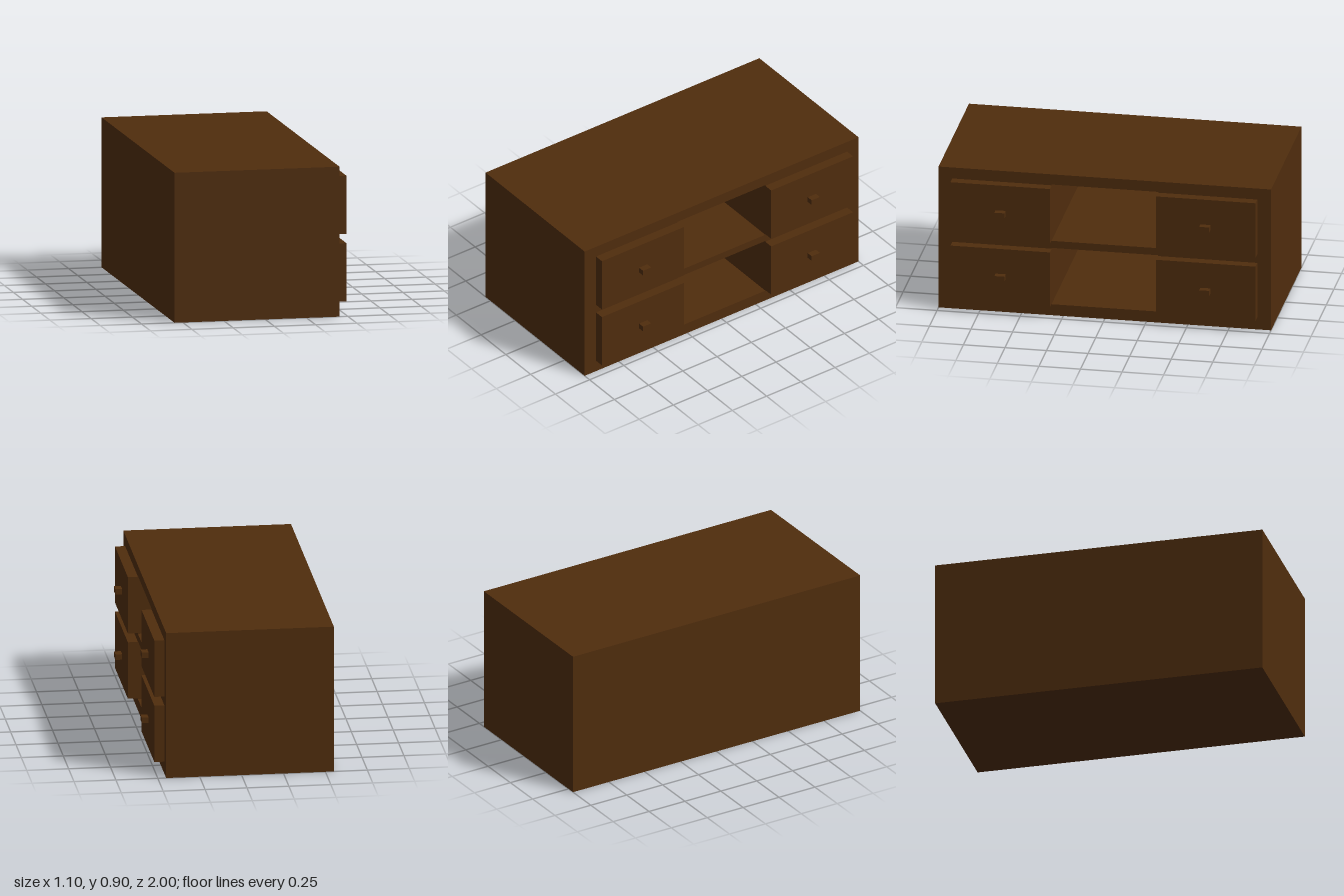
import * as THREE from 'three';

export function createModel() {
  const group = new THREE.Group();
  const wood = new THREE.MeshStandardMaterial({ color: 0x502d0d });
  wood.name = 'dark wood';

  const add = (name, geometry, x, y, z) => {
    const mesh = new THREE.Mesh(geometry, wood);
    mesh.name = name;
    mesh.position.set(x, y, z);
    group.add(mesh);
    return mesh;
  };

  const rowCentres = [0.25, 0.655];
  const backThickness = 0.1;

  // Cabinet body with two open shelf bays between the drawers
  const outline = new THREE.Shape();
  outline.moveTo(-1, 0).lineTo(1, 0).lineTo(1, 0.9).lineTo(-1, 0.9).closePath();
  for (const y of rowCentres) {
    const bay = new THREE.Path();
    bay.moveTo(-0.32, y - 0.18).lineTo(-0.32, y + 0.18).lineTo(0.32, y + 0.18).lineTo(0.32, y - 0.18).closePath();
    outline.holes.push(bay);
  }
  const body = new THREE.ExtrudeGeometry(outline, { depth: 1 - backThickness, bevelEnabled: false });
  body.rotateY(Math.PI / 2);
  add('cabinetBody', body, -0.55 + backThickness, 0, 0);

  // Panel closing the back of the bays
  add('backPanel', new THREE.BoxGeometry(backThickness, 0.9, 2), -0.55 + backThickness / 2, 0.45, 0);

  // Four drawer fronts, each with a small square knob
  const drawerGeometry = new THREE.BoxGeometry(0.06, 0.35, 0.598);
  const knobGeometry = new THREE.BoxGeometry(0.04, 0.034, 0.06);
  for (const y of rowCentres) {
    for (const side of [-1, 1]) {
      add('drawerFront', drawerGeometry, 0.48, y, side * 0.618);
      add('drawerKnob', knobGeometry, 0.53, y - 0.001, side * 0.616);
    }
  }
  return group;
}
